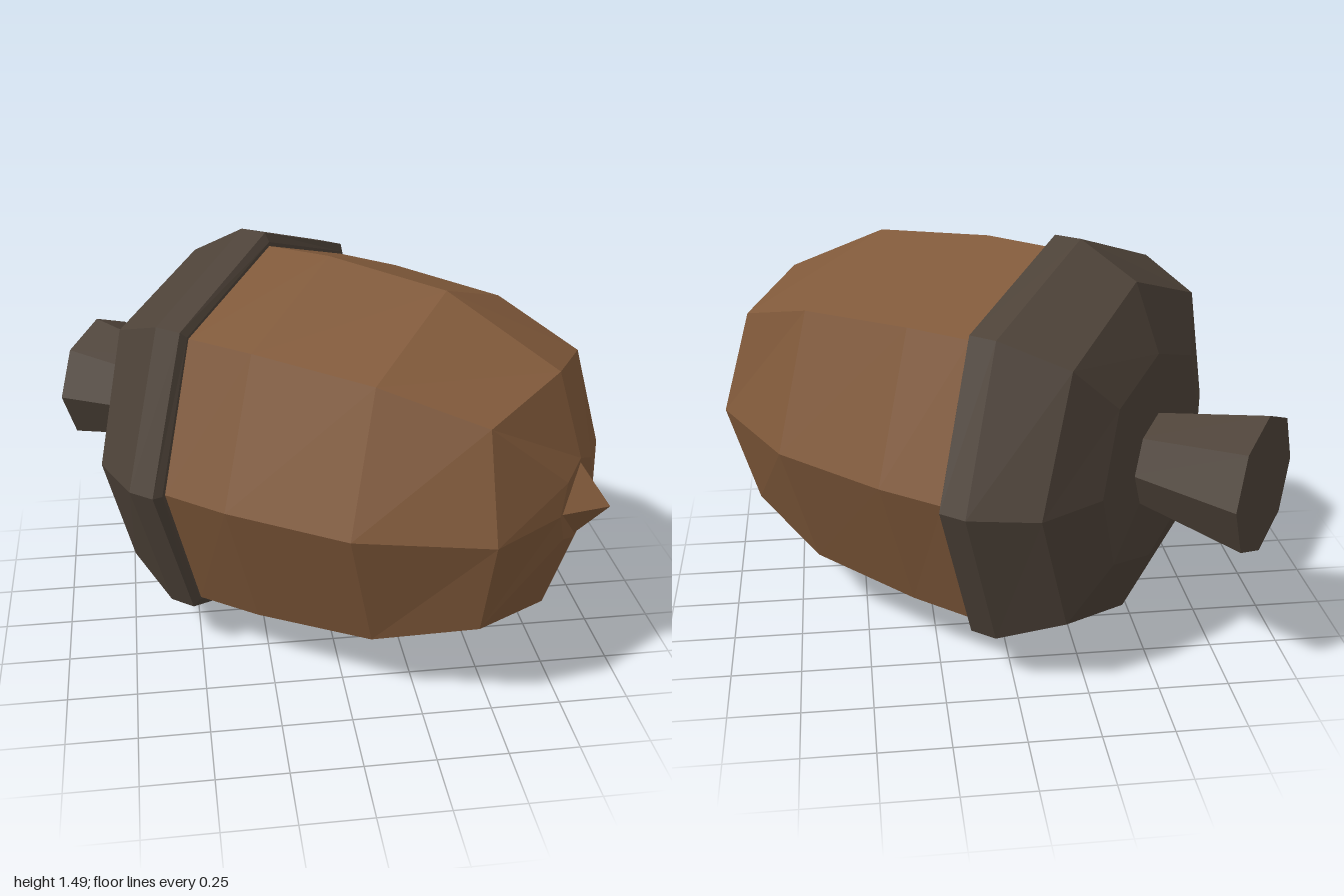
import * as THREE from 'three';

const SHELL = new THREE.MeshStandardMaterial({ color: 0x80593a, flatShading: true });
const CAP = new THREE.MeshStandardMaterial({ color: 0x4d4238, flatShading: true });

// Eight-sided turned part. Each profile row is [height, radius, cornerHeight, cornerRadius];
// the last two apply to every second vertex around the ring, giving a slightly boxy octagon.
function turned(name, material, profile) {
  const points = profile.map(([h, r]) => new THREE.Vector2(r, h));
  const geometry = new THREE.LatheGeometry(points, 8);
  const pos = geometry.attributes.position;
  const n = profile.length;
  for (let i = 1; i < 8; i += 2) {
    const a = (i * Math.PI) / 4;
    profile.forEach(([h, r, ch = h, cr = r], j) => {
      pos.setXYZ(i * n + j, cr * Math.sin(a), ch, cr * Math.cos(a));
    });
  }
  geometry.computeVertexNormals();
  const mesh = new THREE.Mesh(geometry, material);
  mesh.name = name;
  return mesh;
}

export function createModel() {
  const model = new THREE.Group();
  model.name = 'acorn';

  // The nut is built upright along y, then laid on its side
  const nut = new THREE.Group();
  nut.name = 'nut';

  nut.add(turned('shell', SHELL, [
    [-0.35, 0],
    [-0.35, 0.69, -0.35, 0.72],
    [-0.25, 0.7, -0.25, 0.735],
    [0, 0.705, 0, 0.73],
    [0.463, 0.66, 0.453, 0.686],
    [0.893, 0.454, 0.815, 0.536],
    [0.99, 0.155],
    [0.99, 0],
  ]));

  // Small pointed tip
  const tip = new THREE.Mesh(new THREE.ConeGeometry(0.16, 0.137, 4), SHELL);
  tip.name = 'tip';
  tip.position.y = 1.04;
  nut.add(tip);

  // Shallow cap with a thick rim
  nut.add(turned('cap', CAP, [
    [-0.7, 0],
    [-0.68, 0.39, -0.68, 0.41],
    [-0.585, 0.63, -0.595, 0.655],
    [-0.37, 0.747, -0.365, 0.777],
    [-0.27, 0.747, -0.265, 0.777],
    [-0.252, 0.715, -0.252, 0.745],
    [-0.252, 0.66],
  ]));

  // Stem flaring towards its cut end
  nut.add(turned('stem', CAP, [
    [-1.09, 0],
    [-1.09, 0.252],
    [-0.67, 0.17],
  ]));

  nut.rotation.z = -Math.PI / 2;
  model.add(nut);

  const lying = new THREE.Group();
  lying.name = 'lyingNut';
  lying.add(nut);
  lying.rotation.y = -Math.atan2(0.614, 0.789);
  lying.position.set(0.02, 0.748, -0.015);
  model.add(lying);
  return model;
}
